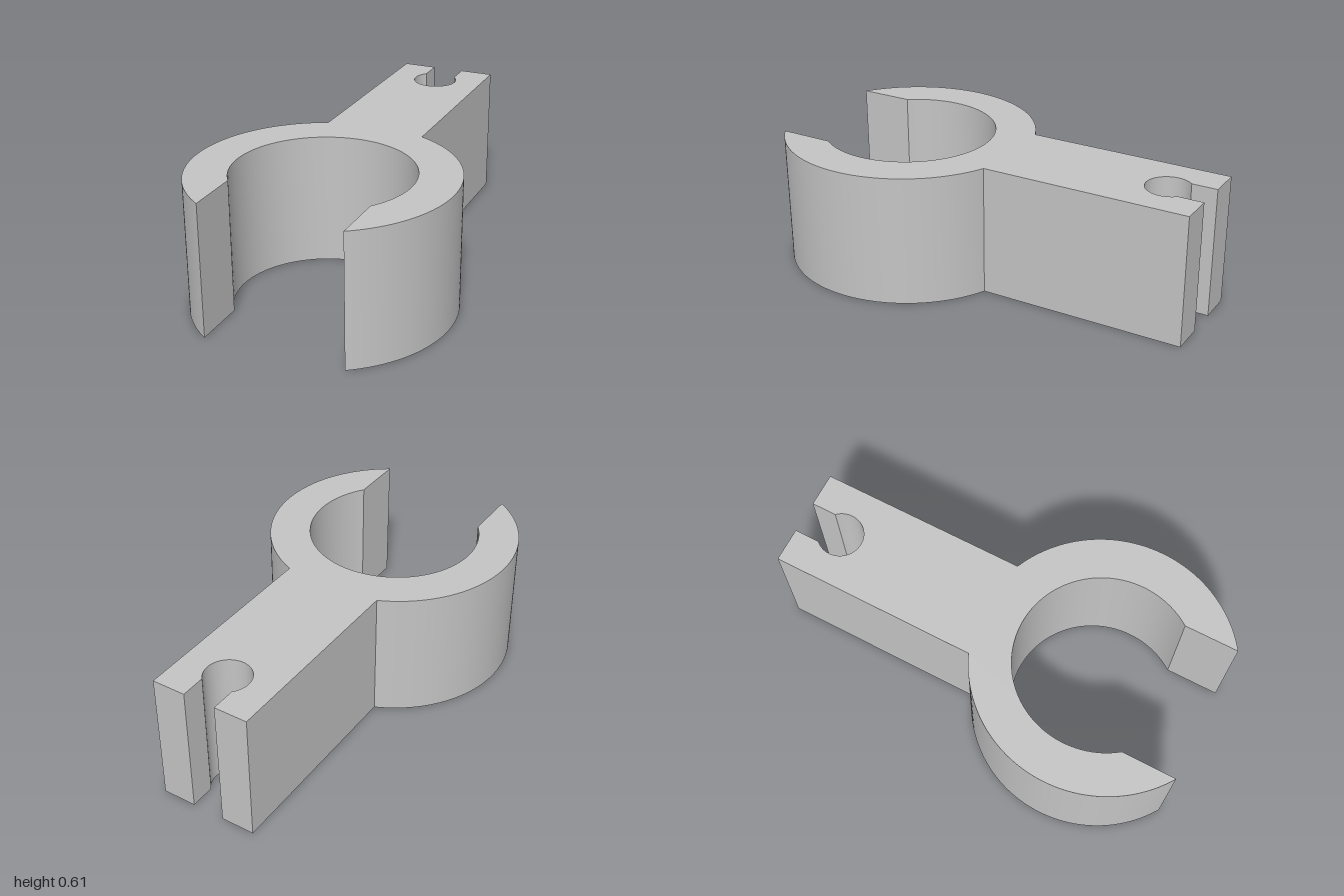
import * as THREE from 'three';
import { toCreasedNormals } from 'three/addons/utils/BufferGeometryUtils.js';

const HEIGHT = 0.61;
const RING_Z = 0.506, OUTER_R = 0.588, INNER_R = 0.4; // open clamp ring
const GAP = 0.32;                                     // half width of the ring opening
const ARM = 0.232;                                    // half width of the arm
const HOLE_Z = -0.81, HOLE_R = 0.104, SLOT = 0.075;   // keyhole at the arm's end

// Plan outline, drawn with shape y = -z
function clipOutline() {
  const outerEnd = Math.acos(GAP / OUTER_R);
  const innerEnd = Math.acos(GAP / INNER_R);
  const armJoin = Math.acos(ARM / OUTER_R);
  const slotJoin = Math.acos(SLOT / HOLE_R);
  const s = new THREE.Shape();
  // left side of the ring, then the arm
  s.absarc(0, -RING_Z, OUTER_R, -outerEnd, armJoin, false);
  s.lineTo(ARM, 1);
  s.lineTo(SLOT, 1);
  // keyhole slot
  s.absarc(0, -HOLE_Z, HOLE_R, slotJoin, Math.PI - slotJoin, true);
  s.lineTo(-SLOT, 1);
  s.lineTo(-ARM, 1);
  // right side of the ring, then the bore
  s.absarc(0, -RING_Z, OUTER_R, Math.PI - armJoin, Math.PI + outerEnd, false);
  s.absarc(0, -RING_Z, INNER_R, Math.PI + innerEnd, -innerEnd, true);
  s.closePath();
  return s;
}

export function createModel() {
  const grey = new THREE.MeshStandardMaterial({ color: 0xc4c4c4 });
  grey.name = 'light grey';

  // Ring and arm are one solid extrusion standing on the ground
  const geometry = new THREE.ExtrudeGeometry(clipOutline(), {
    depth: HEIGHT, bevelEnabled: false, curveSegments: 40,
  });
  geometry.rotateX(-Math.PI / 2);

  const clip = new THREE.Mesh(toCreasedNormals(geometry, 0.35), grey);
  clip.name = 'clipBody';

  const model = new THREE.Group();
  model.name = 'slottedClip';
  model.add(clip);
  return model;
}
